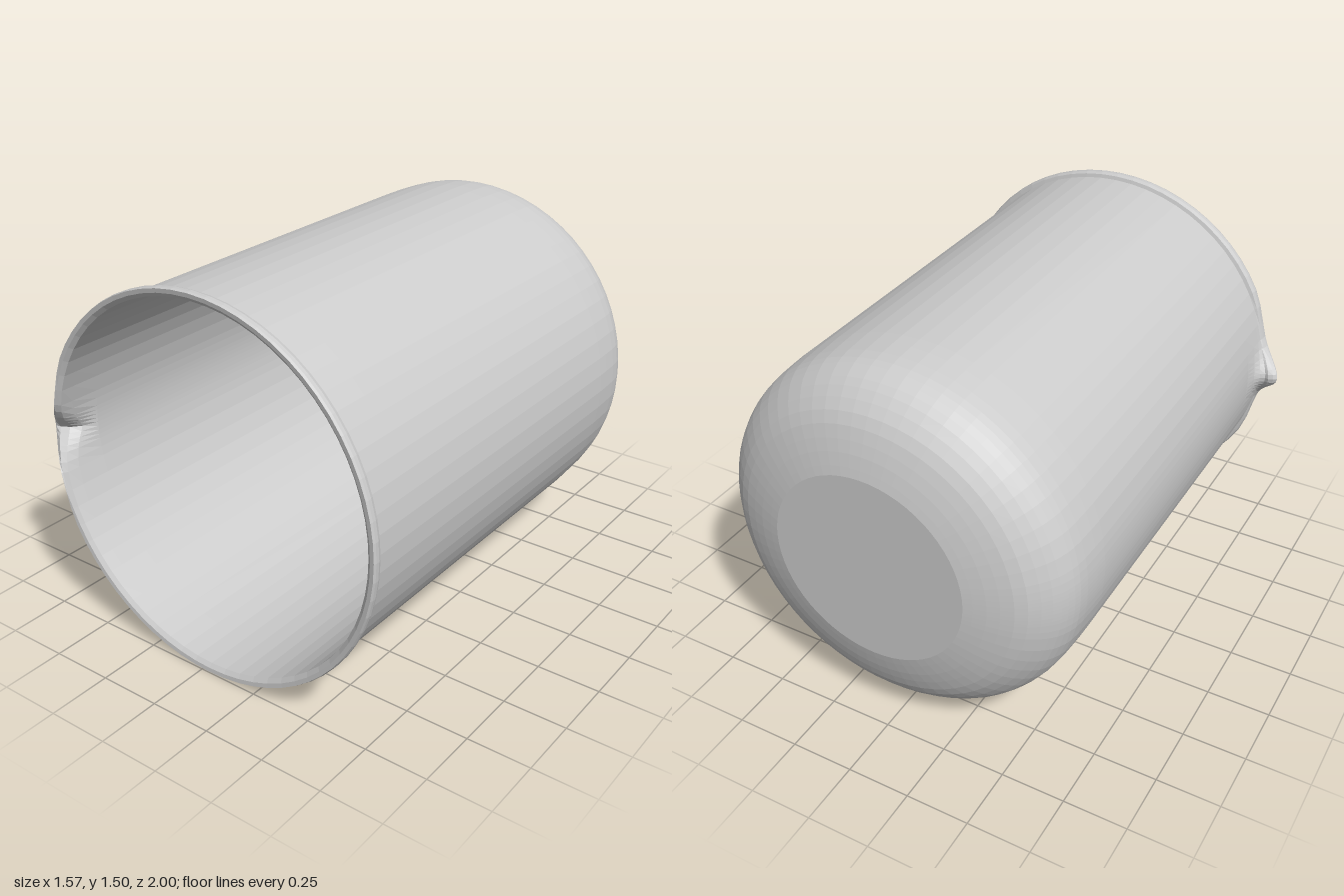
import * as THREE from 'three';

const CX = 0.0375, CY = 0.7475; // axis of the beaker, which lies along z

// Angles in degrees around the axis, 0 at the spout; finer near the spout
const angles = [];
for (let i = -32; i <= 32; i++) angles.push(i * 5.625);
for (const a of [1.4, 2.8, 4.2, 8.4]) angles.push(a, -a);
angles.sort((a, b) => a - b);

// Sweeps rows [r, z, spoutR, spoutZ, power] around the axis.
// The spout values are reached at angle 0; power 2 is rounded, 1.3 a V groove.
function sweep(name, rows, material) {
  const pos = [], index = [], n = angles.length;
  for (const [r, z, sr = r, sz = z, power = 2] of rows) {
    for (const deg of angles) {
      const d = Math.abs(deg), t = THREE.MathUtils.degToRad(deg);
      const s = Math.exp(-Math.pow(d / (power === 2 ? 6.5 : 5.5), power));
      // the lip thins out on both sides of the spout
      const thin = 1 - THREE.MathUtils.smoothstep(d, 14, 30);
      const base = r > 0.7275 ? r - (r - 0.7275) * 0.75 * thin : r;
      const rad = THREE.MathUtils.lerp(base, sr, s);
      pos.push(CX - rad * Math.cos(t), CY + rad * Math.sin(t), THREE.MathUtils.lerp(z, sz, s));
    }
  }
  for (let i = 0; i < rows.length - 1; i++) {
    for (let j = 0; j < n - 1; j++) {
      const a = i * n + j, b = a + n;
      if (rows[i][0] > 0) index.push(a, b, a + 1);
      if (rows[i + 1][0] > 0) index.push(b, b + 1, a + 1);
    }
  }
  const indexed = new THREE.BufferGeometry();
  indexed.setAttribute('position', new THREE.Float32BufferAttribute(pos, 3));
  indexed.setIndex(index);
  const geometry = indexed.toNonIndexed();
  geometry.computeVertexNormals();
  const mesh = new THREE.Mesh(geometry, material);
  mesh.name = name;
  return mesh;
}

// Rounded closed end, from the flat bottom to the straight wall
function roundedEnd(inset) {
  const curve = new THREE.SplineCurve([
    [0.388, -1], [0.485, -0.975], [0.588, -0.935], [0.665, -0.87],
    [0.702, -0.81], [0.72, -0.74], [0.7275, -0.6],
  ].map(([r, z]) => new THREE.Vector2(r - inset, z + inset)));
  return [[0, -1 + inset], ...curve.getPoints(14).map((p) => [p.x, p.y])];
}

export function createModel() {
  const grey = new THREE.MeshStandardMaterial({ color: 0xcccccc, flatShading: true, side: THREE.DoubleSide });
  grey.name = 'light grey';

  const wallTop = [0.7275, 0.955, 0.775, 0.892];
  const innerTop = [0.7125, 0.985, 0.765, 0.895, 1.3];

  const group = new THREE.Group();
  group.name = 'beaker';
  group.add(
    sweep('outerWall', [
      ...roundedEnd(0),
      [0.7275, 0.8],
      [0.7275, 0.88, 0.737, 0.855],
      [0.7275, 0.93, 0.755, 0.88],
      wallTop,
    ], grey),
    sweep('pouringLip', [
      wallTop,
      [0.742, 0.96, 0.79, 0.888],
      [0.7475, 0.975, 0.81, 0.895],
      [0.7475, 0.99, 0.8225, 0.908],
      [0.744, 1, 0.82, 0.917],
      [0.728, 0.998, 0.8, 0.913, 1.3],
      innerTop,
    ], grey),
    sweep('innerWall', [
      innerTop,
      [0.7125, 0.93, 0.735, 0.86, 1.3],
      [0.7125, 0.8],
      ...roundedEnd(0.015).reverse(),
    ], grey),
  );
  return group;
}
